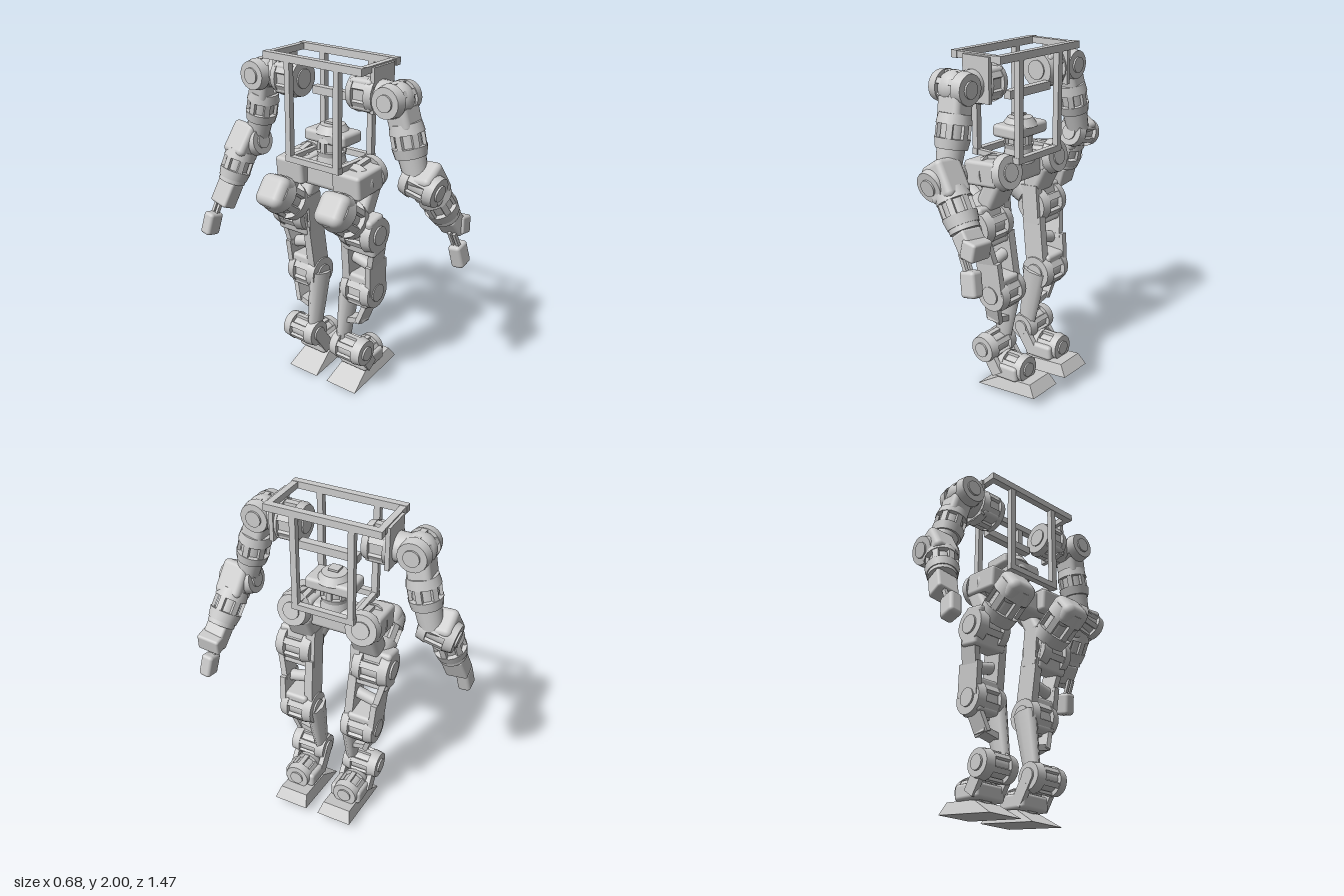
import * as THREE from 'three';
import { ConvexGeometry } from 'three/addons/geometries/ConvexGeometry.js';
import { RoundedBoxGeometry } from 'three/addons/geometries/RoundedBoxGeometry.js';

const mat = new THREE.MeshStandardMaterial({ color: 0xcccccc, side: THREE.DoubleSide });
const V = (p) => new THREE.Vector3(...p);

export function createModel() {
  const root = new THREE.Group();
  root.name = 'walkingRobot';
  let group = root;

  const part = (name) => {
    group = new THREE.Group();
    group.name = name;
    root.add(group);
  };
  const add = (name, geo) => {
    const m = new THREE.Mesh(geo, mat);
    m.name = name;
    group.add(m);
    return m;
  };
  // Places a mesh midway from a to b with its local y along that line
  const span = (m, a, b) => {
    const y = V(b).sub(V(a)).normalize();
    const ref = Math.abs(y.z) > 0.9 ? new THREE.Vector3(1, 0, 0) : new THREE.Vector3(0, 0, 1);
    const x = y.clone().cross(ref).normalize();
    const z = x.clone().cross(y);
    m.quaternion.setFromRotationMatrix(new THREE.Matrix4().makeBasis(x, y, z));
    m.position.copy(V(a).add(V(b)).multiplyScalar(0.5));
    return m;
  };
  const dist = (a, b) => V(a).distanceTo(V(b));
  const beam = (name, a, b, w, d) => span(add(name, new THREE.BoxGeometry(w, dist(a, b), d)), a, b);
  const pad = (name, a, b, w, d, r = 0.02) =>
    span(add(name, new RoundedBoxGeometry(w, dist(a, b), d, 3, r)), a, b);
  const tube = (name, a, b, r0, r1 = r0, seg = 20) =>
    span(add(name, new THREE.CylinderGeometry(r1, r0, dist(a, b), seg)), a, b);
  const ball = (name, p, r) => add(name, new THREE.SphereGeometry(r, 20, 14)).position.set(...p);
  const mix = (a, b, t) => a.map((v, i) => v + (b[i] - v) * t);

  // Motor with end rings, open ribs and an inner core
  const motor = (name, a, b, r, ring = 0.25, ribs = 6) => {
    const outer = group;
    const g = new THREE.Group();
    g.name = name;
    outer.add(g);
    group = g;
    tube('endRing', a, mix(a, b, ring), r * 0.9, r);
    tube('endRing', mix(a, b, 1 - ring), b, r, r * 0.9);
    tube('core', a, b, r * 0.72);
    tube('shaftCap', mix(a, b, -0.05), mix(a, b, 1.05), r * 0.5);
    const L = dist(a, b) * (1 - 2 * ring);
    const cage = new THREE.Group();
    cage.name = 'ribs';
    for (let i = 0; i < ribs; i++) {
      const t = (i / ribs) * Math.PI * 2;
      const m = new THREE.Mesh(new THREE.BoxGeometry(r * 0.2, L, r * 0.35), mat);
      m.name = 'rib';
      m.position.set(Math.cos(t) * r * 0.85, 0, Math.sin(t) * r * 0.85);
      m.rotation.y = -t;
      cage.add(m);
    }
    g.add(span(cage, a, b));
    group = outer;
  };

  // Torso frame: top and bottom rails, corner posts
  part('torsoFrame');
  for (const s of [-1, 1]) {
    beam('topRail', [s * 0.15, 1.98, -0.33], [s * 0.15, 1.98, 0.33], 0.04, 0.04);
    beam('topCrossRail', [-0.16, 1.98, s * 0.31], [0.17, 1.98, s * 0.31], 0.035, 0.035);
    beam('bottomRail', [s * 0.15, 1.425, -0.185], [s * 0.15, 1.425, 0.185], 0.035, 0.035);
    beam('bottomCrossRail', [-0.15, 1.425, s * 0.165], [0.15, 1.425, s * 0.165], 0.03, 0.03);
    for (const x of [-0.15, 0.15]) beam('post', [x, 1.41, s * 0.165], [x, 1.98, s * 0.165], 0.035, 0.035);
  }
  beam('middleBar', [0.075, 1.77, -0.17], [0.075, 1.77, 0.17], 0.045, 0.045);

  // Waist motor and pelvis bridge
  part('pelvis');
  motor('waistMotor', [0.01, 1.44, 0], [0.01, 1.55, 0], 0.085);
  pad('waistYoke', [0.02, 1.55, -0.14], [0.02, 1.55, 0.14], 0.07, 0.17);
  tube('waistDome', [0.02, 1.57, 0], [0.02, 1.615, 0], 0.1, 0.07);
  beam('sensorPlate', [0.01, 1.628, -0.03], [0.01, 1.628, 0.03], 0.012, 0.06);
  pad('bridge', [0, 1.33, -0.2], [0, 1.33, 0.2], 0.15, 0.15, 0.03);
  tube('waistBase', [0.01, 1.36, 0], [0.01, 1.45, 0], 0.09, 0.075);

  for (const s of [1, -1]) {
    const side = s > 0 ? 'left' : 'right';
    const P = (x, y, z) => [x, y, s * z];

    // Leg: hip motors, thigh plates, knee, shin and ankle
    part(side + 'Leg');
    motor('hipRollMotor', P(-0.05, 1.33, 0.2), P(0.13, 1.365, 0.21), 0.102);
    pad('hipRollHousing', P(-0.13, 1.335, 0.2), P(0.09, 1.355, 0.205), 0.14, 0.19);
    pad('hipBracket', P(0.07, 1.33, 0.2), P(-0.02, 1.15, 0.2), 0.11, 0.17, 0.03);
    motor('hipYawMotor', P(-0.25, 1.25, 0.21), P(-0.06, 1.11, 0.21), 0.112, 0.3);
    pad('hipYawHousing', P(-0.285, 1.275, 0.21), P(-0.17, 1.19, 0.21), 0.19, 0.185, 0.05);
    motor('hipPitchMotor', P(-0.01, 1.05, 0.135), P(-0.01, 1.05, 0.35), 0.11);
    pad('hipPitchCover', P(-0.035, 1.16, 0.24), P(0.01, 0.93, 0.24), 0.13, 0.22);
    beam('innerThigh', P(-0.01, 1.18, 0.14), P(0.01, 0.95, 0.14), 0.11, 0.055);
    beam('innerThighLower', P(0.01, 0.99, 0.14), P(0.05, 0.68, 0.13), 0.13, 0.05);
    beam('outerThigh', P(0.01, 1.0, 0.33), P(0.04, 0.82, 0.29), 0.12, 0.035);
    beam('outerThighLower', P(0.04, 0.85, 0.295), P(0.06, 0.66, 0.285), 0.16, 0.035);
    tube('thighBrace', P(0.03, 0.86, 0.13), P(0.03, 0.82, 0.29), 0.035);
    motor('kneeMotor', P(0.055, 0.65, 0.1), P(0.055, 0.65, 0.3), 0.107);
    pad('kneeHousing', P(0.055, 0.76, 0.21), P(0.05, 0.56, 0.21), 0.15, 0.15);
    tube('innerShin', P(-0.02, 0.27, 0.11), P(0.045, 0.66, 0.115), 0.055, 0.085, 8).scale.z = 0.6;
    beam('outerShin', P(0.04, 0.6, 0.27), P(0.015, 0.45, 0.22), 0.1, 0.03);
    beam('shinBrace', P(0.02, 0.47, 0.24), P(0.015, 0.44, 0.12), 0.035, 0.08);
    motor('anklePitchMotor', P(-0.025, 0.27, 0.07), P(-0.025, 0.27, 0.29), 0.087);
    for (const z of [0.075, 0.255]) beam('ankleFork', P(-0.02, 0.26, z), P(0.07, 0.13, z), 0.08, 0.03);
    motor('ankleRollMotor', P(0.04, 0.165, 0.165), P(0.22, 0.175, 0.165), 0.083);
    pad('ankleBlock', P(0.01, 0.145, 0.16), P(0.2, 0.16, 0.16), 0.09, 0.2);

    // Wedge foot, pitched toe up
    const sole = [];
    for (const z of [0.04, 0.255]) sole.push(V(P(-0.09, 0.005, z)), V(P(0.335, 0.065, z)));
    for (const z of [0.06, 0.235]) sole.push(V(P(0.06, 0.1, z)), V(P(0.29, 0.13, z)));
    add('foot', new ConvexGeometry(sole));

    // Arm: the left swings forward, the right swings back
    part(side + 'Arm');
    const A = (x, y, z) => [s * x, y, s * z];
    motor('shoulderPitchMotor', P(-0.01, 1.84, 0.18), P(-0.01, 1.84, 0.34), 0.11);
    pad('shoulderPitchHousing', P(-0.01, 1.84, 0.19), P(-0.01, 1.84, 0.33), 0.17, 0.17);
    beam('shoulderBracket', P(0.01, 1.75, 0.33), P(0.01, 1.99, 0.33), 0.18, 0.025);
    tube('shoulderLink', P(-0.01, 1.84, 0.33), P(-0.01, 1.84, 0.42), 0.08);
    motor('shoulderRollMotor', P(-0.14, 1.84, 0.45), P(0.075, 1.84, 0.45), 0.09);
    ball('shoulderJoint', P(-0.03, 1.84, 0.45), 0.09);
    pad('upperArm', P(-0.02, 1.87, 0.45), P(0, 1.68, 0.495), 0.15, 0.13, 0.03);
    motor('upperArmMotor', P(0, 1.72, 0.485), P(0.005, 1.545, 0.525), 0.094, 0.3);
    tube('elbowYoke', P(0.005, 1.56, 0.525), P(0.01, 1.43, 0.56), 0.075, 0.065);
    motor('elbowMotor', A(0.01, 1.42, 0.5), A(0.01, 1.38, 0.7), 0.09);
    pad('elbowCover', A(-0.01, 1.49, 0.6), A(0.1, 1.32, 0.62), 0.16, 0.16, 0.03);

    // The right forearm hangs steeper, with a lower wrist
    const wrist = s > 0 ? A(0.2, 1.18, 0.64) : A(0.14, 1.17, 0.645);
    const palm = s > 0 ? A(0.28, 1.08, 0.655) : A(0.2, 1.03, 0.675);
    motor('forearmMotor', A(0.075, 1.36, 0.61), mix(A(0.075, 1.36, 0.61), wrist, 0.88), 0.094, 0.3);
    tube('wristRing', mix(A(0.075, 1.36, 0.61), wrist, 0.85), wrist, 0.08);
    pad('wristBlock', wrist, palm, 0.1, 0.13, 0.015);
    if (s > 0) pad('wristSide', A(0.29, 1.16, 0.65), A(0.275, 1.06, 0.66), 0.09, 0.14, 0.015);

    // Hand: palm with two thin finger rods
    for (const z of [0.66, 0.69]) beam('fingerRod', A(0.21, 1.08, z), A(0.265, 0.97, z + 0.01), 0.022, 0.018);
    pad('hand', A(0.265, 1.0, 0.68), A(0.295, 0.865, 0.7), 0.1, 0.075, 0.02);
  }
  return root;
}
